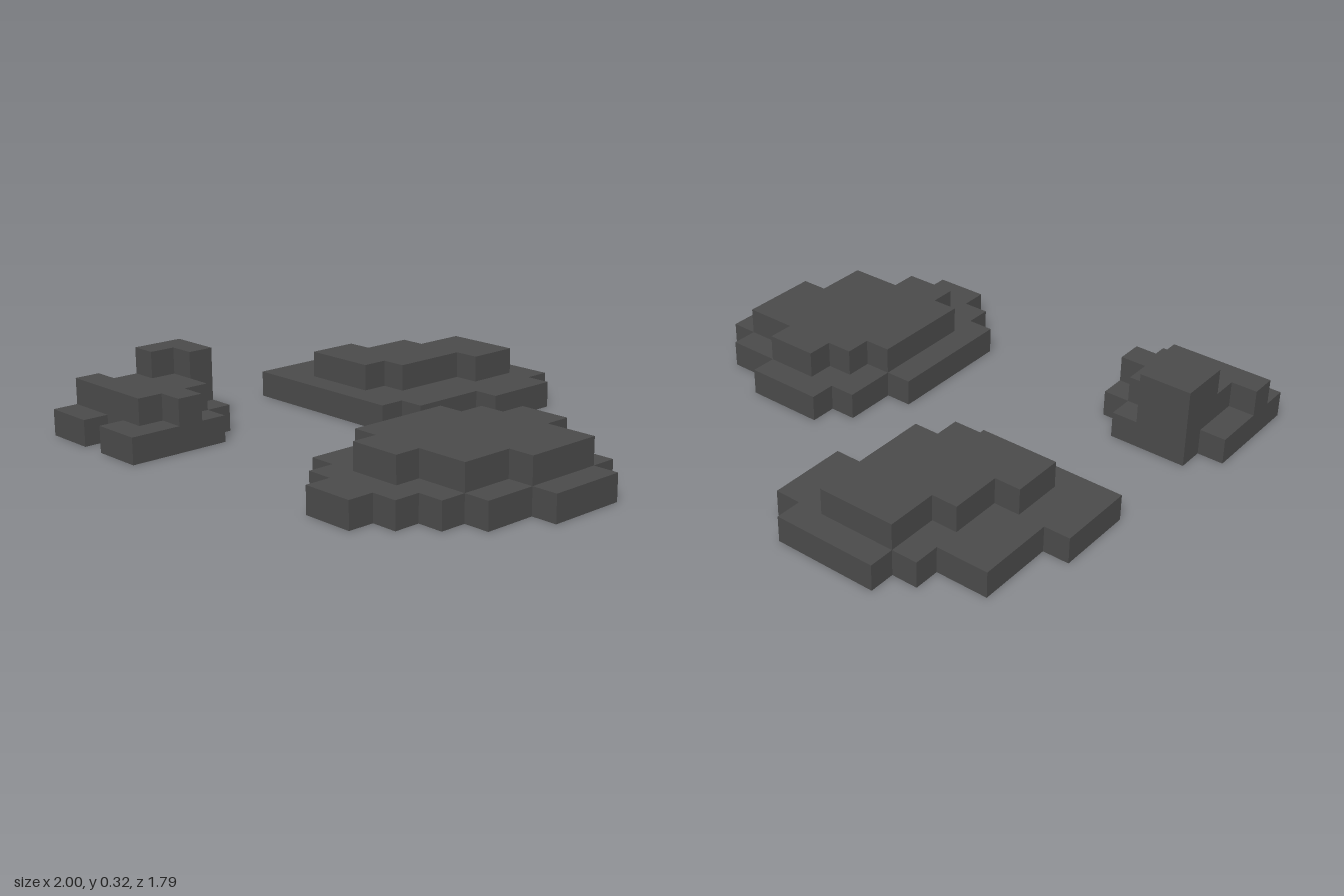
import * as THREE from 'three';

const U = 2 / 19; // block size: the grid is 19 x 17 blocks

// Each layer: level, first row (back to front), then [left, right) block columns of every row
const ROCKS = {
  backRock: [
    { level: 0, row: 0, spans: [[5, 9], [4, 10], [2, 10], [2, 10], [2, 9], [1, 9], [1, 9], [1, 8]] },
    { level: 1, row: 1, spans: [[5, 8], [5, 8], [4, 7], [4, 7], [3, 7], [3, 6]] },
  ],
  leftRock: [
    { level: 0, row: 6, spans: [[13, 16], [12, 18], [12, 19], [11, 19], [11, 19], [11, 18], [11, 18], [11, 17], [12, 16], [13, 15]] },
    { level: 1, row: 7, spans: [[14, 16], [13, 18], [12, 18], [12, 18], [12, 17], [12, 17], [13, 15]] },
  ],
  smallRock: [
    { level: 0, row: 12, spans: [[1, 4], [0, 5], [0, 5], [0, 5]] },
    { level: 0, row: 16, spans: [[0, 2]] }, // two front feet
    { level: 0, row: 16, spans: [[3, 5]] },
    { level: 1, row: 12, spans: [[1, 3], [1, 4], [1, 5], [0, 4]] },
    { level: 2, row: 12, spans: [[1, 3], [1, 2]] },
  ],
};

// Stepped slab, one block thick, whose outline follows the row spans
function slabGeometry({ level, row, spans }) {
  const leftSide = [];
  const rightSide = [];
  const add = (side, col, k) => {
    const p = new THREE.Vector2(-1 + col * U, (8.5 - k) * U);
    const last = side[side.length - 1];
    if (!last || last.distanceTo(p) > 1e-6) side.push(p);
  };
  spans.forEach(([left, right], i) => {
    for (const k of [row + i, row + i + 1]) {
      add(leftSide, left, k);
      add(rightSide, right, k);
    }
  });
  const outline = new THREE.Shape([...leftSide, ...rightSide.reverse()]);
  const geometry = new THREE.ExtrudeGeometry(outline, { depth: U, bevelEnabled: false });
  geometry.rotateX(-Math.PI / 2);
  geometry.translate(0, level * U, 0);
  return geometry;
}

export function createModel() {
  const model = new THREE.Group();
  model.name = 'rocks';
  const stone = new THREE.MeshStandardMaterial({ color: 0x4a4a4a });
  stone.name = 'dark stone';

  for (const [name, layers] of Object.entries(ROCKS)) {
    const rock = new THREE.Group();
    rock.name = name;
    layers.forEach((layer, i) => {
      const slab = new THREE.Mesh(slabGeometry(layer), stone);
      slab.name = `${name}Layer${i + 1}`;
      rock.add(slab);
    });
    model.add(rock);
  }
  return model;
}
